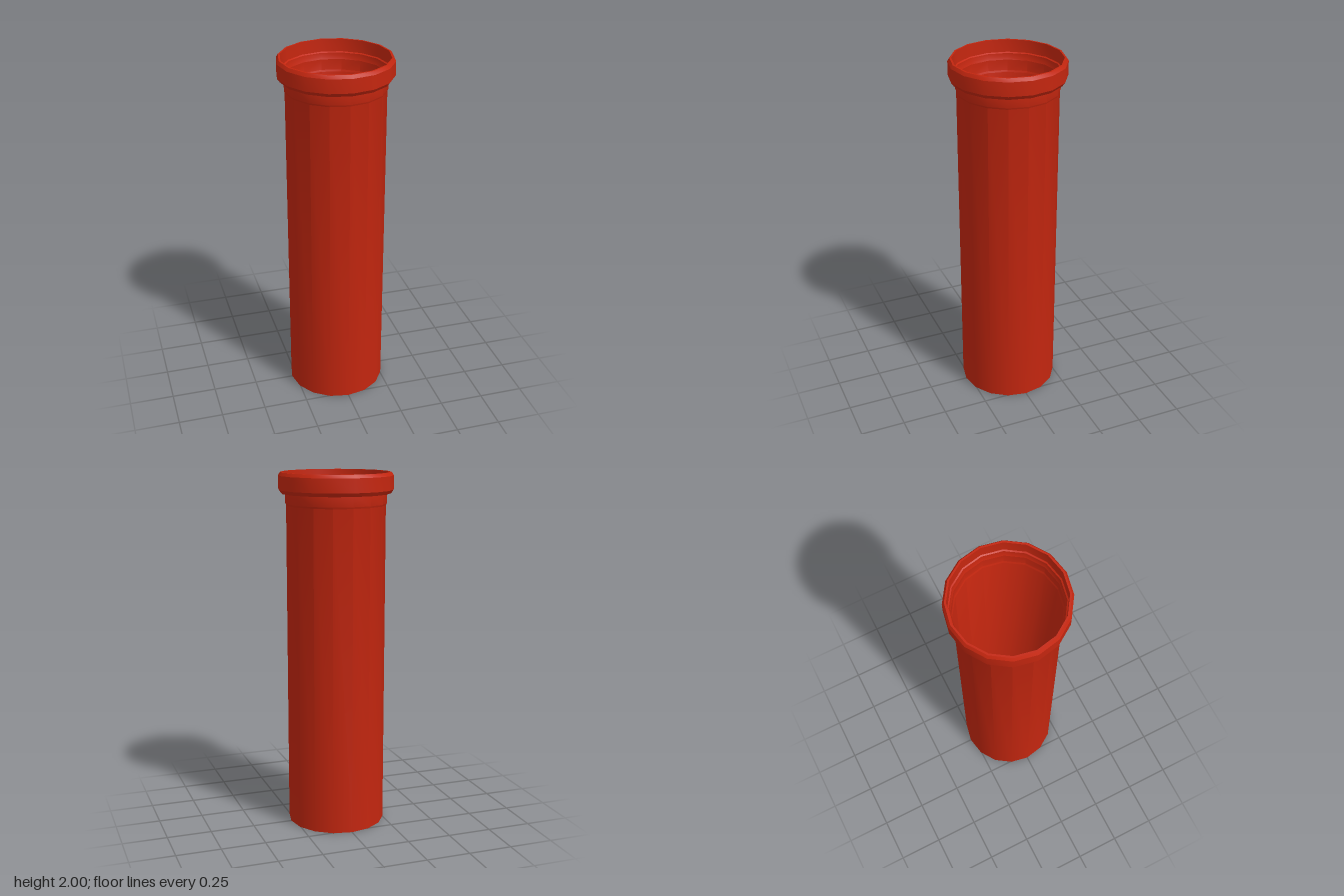
import * as THREE from 'three';
import { toCreasedNormals } from 'three/addons/utils/BufferGeometryUtils.js';

const SIDES = 16;

// Sweeps a [radius, height] profile round the vertical axis
function turned(name, profile, material) {
  const points = profile.map(([r, y]) => new THREE.Vector2(r, y));
  const geometry = toCreasedNormals(new THREE.LatheGeometry(points, SIDES), Math.PI / 6);
  const mesh = new THREE.Mesh(geometry, material);
  mesh.name = name;
  return mesh;
}

export function createModel() {
  const group = new THREE.Group();
  group.name = 'pipe';
  const material = new THREE.MeshStandardMaterial({ color: 0xc4260f, side: THREE.DoubleSide });

  // Thin open tube with a slightly wider neck under the socket
  group.add(turned('tube', [
    [0.275, 0], [0.275, 1.82], [0.28, 1.83], [0.28, 1.89],
  ], material));

  // Bevelled socket: underside, outer wall, rim, then the stepped inside
  group.add(turned('socket', [
    [0.28, 1.89], [0.303, 1.885], [0.317, 1.905], [0.317, 1.982], [0.306, 2],
    [0.296, 2], [0.294, 1.93], [0.287, 1.925], [0.285, 1.905], [0.28, 1.89],
  ], material));

  return group;
}
